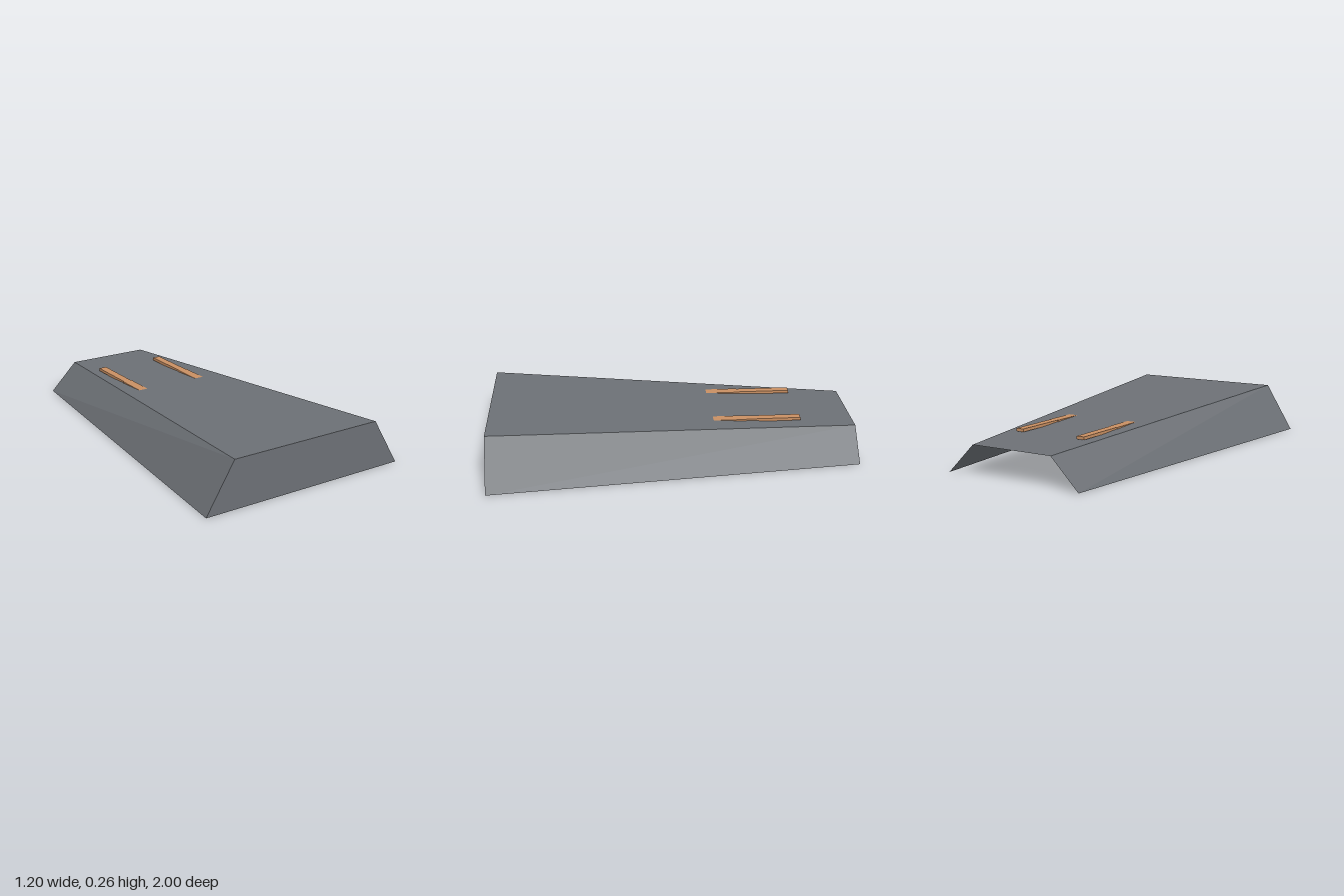
import * as THREE from 'three';

export function createModel() {
  const model = new THREE.Group();
  const grey = new THREE.MeshStandardMaterial({ color: 0x6c7075, side: THREE.DoubleSide });
  grey.name = 'slate grey';
  const copper = new THREE.MeshStandardMaterial({ color: 0xc88f62 });
  copper.name = 'copper';

  // Flat four-cornered panel, corners counter-clockwise from outside
  function panel(name, a, b, c, d) {
    const geometry = new THREE.BufferGeometry();
    geometry.setAttribute('position', new THREE.Float32BufferAttribute([a, b, c, a, c, d].flat(), 3));
    geometry.computeVertexNormals();
    const mesh = new THREE.Mesh(geometry, grey);
    mesh.name = name;
    model.add(mesh);
  }

  // Corners of the tapered shell; s is the side: +1 left, -1 right
  const frontLow = s => [s * 0.6, 0, 1];
  const frontHigh = s => [s * 0.44, 0.26, 1];
  const backLow = s => [s * 0.4, 0, -1];
  const backHigh = s => [s * 0.24, 0.16, -1];

  // Hollow shell, open at the back and underneath
  panel('frontWall', frontLow(-1), frontLow(1), frontHigh(1), frontHigh(-1));
  panel('slopedTop', frontHigh(-1), frontHigh(1), backHigh(1), backHigh(-1));
  panel('leftWall', frontLow(1), backLow(1), backHigh(1), frontHigh(1));
  panel('rightWall', backLow(-1), frontLow(-1), frontHigh(-1), backHigh(-1));

  // Two level rails, each a long wide bar with a narrower tail passing through the top
  function bar(name, x, width, z0, z1) {
    const mesh = new THREE.Mesh(new THREE.BoxGeometry(width, 0.016, z1 - z0), copper);
    mesh.name = name;
    mesh.position.set(x, 0.191, (z0 + z1) / 2);
    model.add(mesh);
  }
  for (const [side, x] of [['left', 0.178], ['right', -0.203]]) {
    bar(side + 'Rail', x, 0.054, -0.4, 0.9);
    bar(side + 'RailTail', x, 0.045, -0.7, -0.4);
  }
  return model;
}
